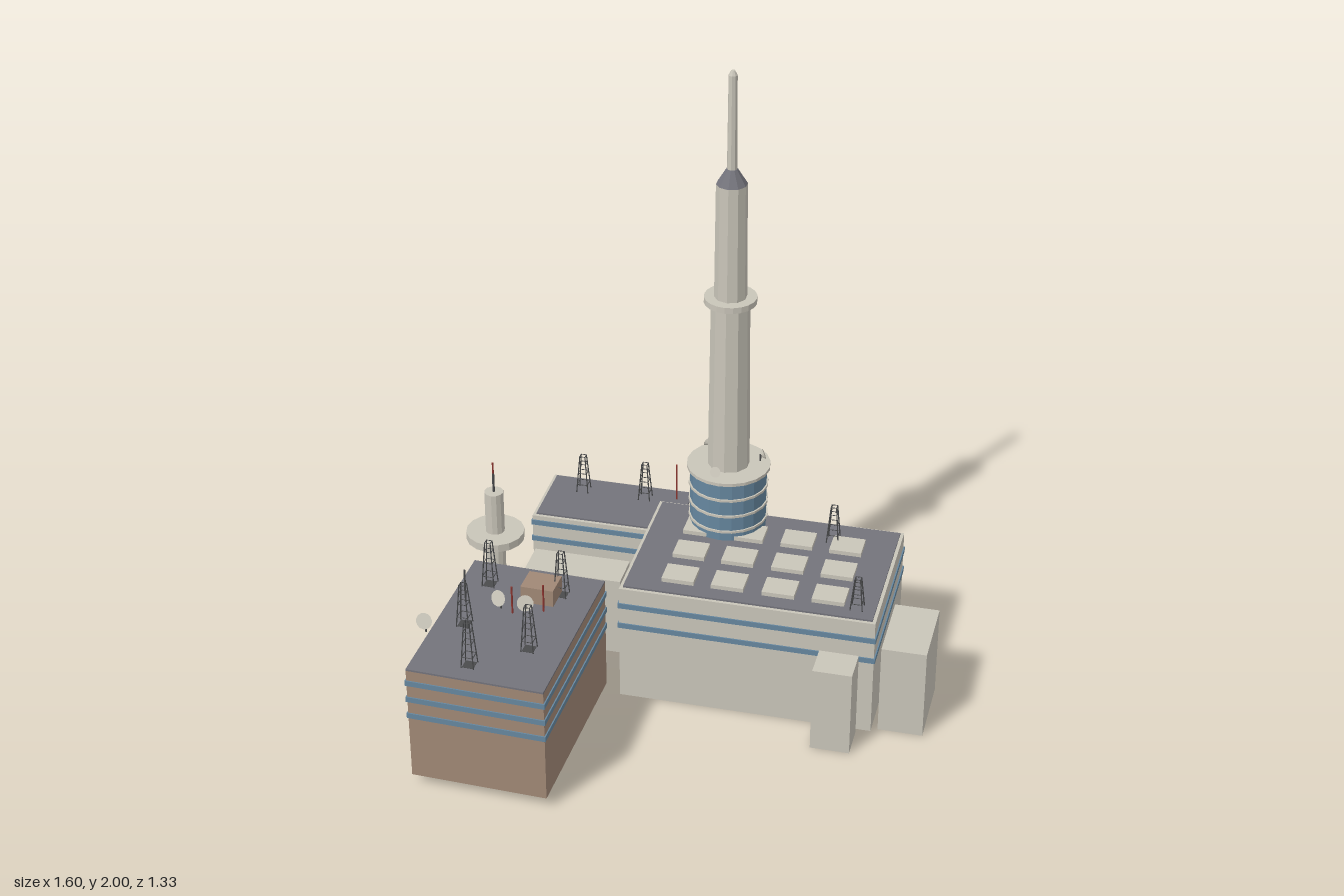
import * as THREE from 'three';

const mat = (name, color) => {
  const m = new THREE.MeshStandardMaterial({ color });
  m.name = name;
  return m;
};

export function createModel() {
  const pale = mat('pale concrete', 0xc9c5b9);
  const roof = mat('roof grey', 0x73737b);
  const brick = mat('brown brick', 0xa08876);
  const glass = mat('blue glass', 0x66879f);
  const steel = mat('dark steel', 0x4a4b4c);
  const red = mat('mast red', 0x8c3630);
  for (const m of [pale, roof, brick, glass, steel, red]) m.flatShading = true;

  const model = new THREE.Group();
  model.name = 'broadcastCentre';

  const add = (parent, name, geo, material, x = 0, y = 0, z = 0) => {
    const mesh = new THREE.Mesh(geo, material);
    mesh.name = name;
    mesh.position.set(x, y, z);
    parent.add(mesh);
    return mesh;
  };
  // Box given by its extents
  const box = (parent, name, m, x0, x1, y0, y1, z0, z1) =>
    add(parent, name, new THREE.BoxGeometry(x1 - x0, y1 - y0, z1 - z0), m,
      (x0 + x1) / 2, (y0 + y1) / 2, (z0 + z1) / 2);
  // Upright cylinder or cone from y0 to y1
  const tube = (parent, name, m, x, z, y0, y1, r0, r1 = r0, sides = 20) =>
    add(parent, name, new THREE.CylinderGeometry(r1, r0, y1 - y0, sides), m, x, (y0 + y1) / 2, z);
  // Straight thin bar between two points
  const bar = (parent, name, m, a, b, r) => {
    const d = b.clone().sub(a);
    const mesh = add(parent, name, new THREE.CylinderGeometry(r, r, d.length(), 4), m);
    mesh.position.copy(a).add(b).multiplyScalar(0.5);
    mesh.quaternion.setFromUnitVectors(new THREE.Vector3(0, 1, 0), d.normalize());
  };

  // Four-legged lattice mast with square frames
  const latticeMast = (parent, x, y, z, h) => {
    const g = new THREE.Group();
    g.name = 'latticeMast';
    g.position.set(x, y, z);
    parent.add(g);
    const corner = (i, t) => {
      const w = 0.02 - 0.011 * t, a = Math.PI / 4 + i * Math.PI / 2;
      return new THREE.Vector3(Math.cos(a) * w * 1.41, t * h, Math.sin(a) * w * 1.41);
    };
    for (let i = 0; i < 4; i++) {
      bar(g, 'mastLeg', steel, corner(i, 0), corner(i, 1), 0.002);
      for (const t of [0.25, 0.55, 0.8, 1])
        bar(g, 'mastFrame', steel, corner(i, t), corner(i + 1, t), 0.0015);
    }
    box(g, 'mastFoot', steel, -0.018, 0.018, 0, 0.004, -0.018, 0.018);
  };

  // Shallow dish on a short post, facing angle yaw (0 = front)
  const dish = (parent, x, y, z, r, yaw, post) => {
    const g = new THREE.Group();
    g.name = 'dishAntenna';
    g.position.set(x, y, z);
    g.rotation.y = yaw;
    parent.add(g);
    const reflector = add(g, 'dishReflector', new THREE.CylinderGeometry(r, r * 0.45, 0.01, 14), pale);
    reflector.rotation.x = Math.PI / 2 - 0.35;
    tube(g, 'dishPost', steel, 0, -0.008, -post, 0, 0.003, 0.003, 6);
  };

  // Building with window bands, rim and roof sheet
  const building = (name, m, x0, x1, y0, y1, z0, z1, bands, rim) => {
    const g = new THREE.Group();
    g.name = name;
    model.add(g);
    box(g, 'walls', m, x0, x1, y0, y1, z0, z1);
    box(g, 'roofSheet', roof, x0 + rim, x1 - rim, y1, y1 + 0.006, z0 + rim, z1 - rim);
    const e = 0.004;
    for (const y of bands)
      box(g, 'windowBand', glass, x0 - e, x1 + e, y - 0.009, y + 0.009, z0 - e, z1 + e);
    return g;
  };

  // Main hall with skylights
  const hall = building('mainHall', pale, -0.185, 0.635, 0, 0.41, -0.49, 0.043, [0.347, 0.272], 0.011);
  for (const x of [-0.01, 0.15, 0.313, 0.473])
    for (const z of [-0.35, -0.207, -0.063])
      box(hall, 'skylight', pale, x - 0.052, x + 0.052, 0.41, 0.43, z - 0.043, z + 0.043);
  latticeMast(hall, 0.565, 0.41, -0.025, 0.115);
  latticeMast(hall, 0.42, 0.41, -0.385, 0.135);

  // Rear wing
  const wing = building('rearWing', pale, -0.6, -0.1, 0, 0.35, -0.662, -0.395, [0.325, 0.262], 0.011);
  latticeMast(wing, -0.475, 0.35, -0.582, 0.14);
  latticeMast(wing, -0.26, 0.35, -0.582, 0.14);
  tube(wing, 'whipAerial', red, -0.155, -0.6, 0.35, 0.49, 0.003, 0.003, 6);

  // Brown block, turned slightly
  const block = building('brownBlock', brick, -0.217, 0.217, 0.037, 0.427, -0.307, 0.307,
    [0.383, 0.323, 0.263], 0);
  block.position.set(-0.457, 0, 0.343);
  block.rotation.y = -0.035;
  box(block, 'roofHut', brick, 0.0, 0.106, 0.43, 0.49, -0.215, -0.125);
  for (const [x, z, h] of [[-0.125, -0.193, 0.16], [0.11, -0.197, 0.16], [-0.127, 0.036, 0.15],
    [0.106, 0.108, 0.16], [-0.04, 0.234, 0.16]])
    latticeMast(block, x, 0.43, z, h);
  for (const [x, z, h, m] of [[-0.165, -0.08, 0.12, steel], [-0.005, -0.06, 0.1, red],
    [0.085, -0.095, 0.1, red]])
    tube(block, 'whipAerial', m, x, z, 0.43, 0.43 + h, 0.003, 0.003, 6);
  dish(block, -0.228, 0.475, 0.11, 0.026, 0, 0.045);
  dish(block, -0.05, 0.475, -0.068, 0.026, -0.3, 0.045);
  dish(block, 0.036, 0.475, -0.065, 0.026, 0.3, 0.045);

  // Small outlying blocks
  box(model, 'linkBlock', pale, -0.565, -0.242, 0, 0.28, -0.305, -0.18);
  box(model, 'sideBlock', pale, 0.655, 0.798, 0, 0.31, -0.225, 0.028);
  box(model, 'frontBlock', pale, 0.465, 0.59, 0, 0.295, 0.06, 0.172);

  // Small lookout tower
  const lookout = new THREE.Group();
  lookout.name = 'lookoutTower';
  lookout.position.set(-0.704, 0, -0.31);
  model.add(lookout);
  tube(lookout, 'lookoutShaft', pale, 0, 0, 0.05, 0.48, 0.032, 0.032, 12);
  tube(lookout, 'lookoutDeck', pale, 0, 0, 0.303, 0.33, 0.097, 0.097, 16);
  tube(lookout, 'lookoutMast', steel, 0, 0, 0.48, 0.55, 0.004, 0.004, 6);
  tube(lookout, 'lookoutMastTip', red, 0, 0, 0.55, 0.59, 0.003, 0.003, 6);

  // Great tower
  const tower = new THREE.Group();
  tower.name = 'greatTower';
  tower.position.set(0.062, 0, -0.422);
  model.add(tower);
  tube(tower, 'towerBase', pale, 0, 0, 0, 0.415, 0.122);
  tube(tower, 'glassDrum', glass, 0, 0, 0.415, 0.63, 0.125);
  for (const y of [0.45, 0.508, 0.568])
    tube(tower, 'drumRing', pale, 0, 0, y - 0.004, y + 0.004, 0.13);
  tube(tower, 'drumCap', pale, 0, 0, 0.627, 0.638, 0.136);
  tube(tower, 'lowerShaft', pale, 0, 0, 0.638, 1.23, 0.068, 0.062, 10);
  tube(tower, 'shaftCollar', pale, 0, 0, 1.225, 1.245, 0.084);
  tube(tower, 'upperShaft', pale, 0, 0, 1.245, 1.63, 0.052, 0.049, 10);
  tube(tower, 'shaftCone', roof, 0, 0, 1.63, 1.68, 0.049, 0.018, 10);
  tube(tower, 'spire', pale, 0, 0, 1.68, 1.985, 0.016, 0.014, 8);
  tube(tower, 'spireTip', pale, 0, 0, 1.985, 2, 0.014, 0.006, 8);
  for (const [x, z] of [[-0.081, 0.068 - 0.136], [0.105, -0.035], [-0.018, 0.108]])
    dish(tower, x, 0.662, z, 0.018, Math.atan2(x, z), 0.03);

  return model;
}
